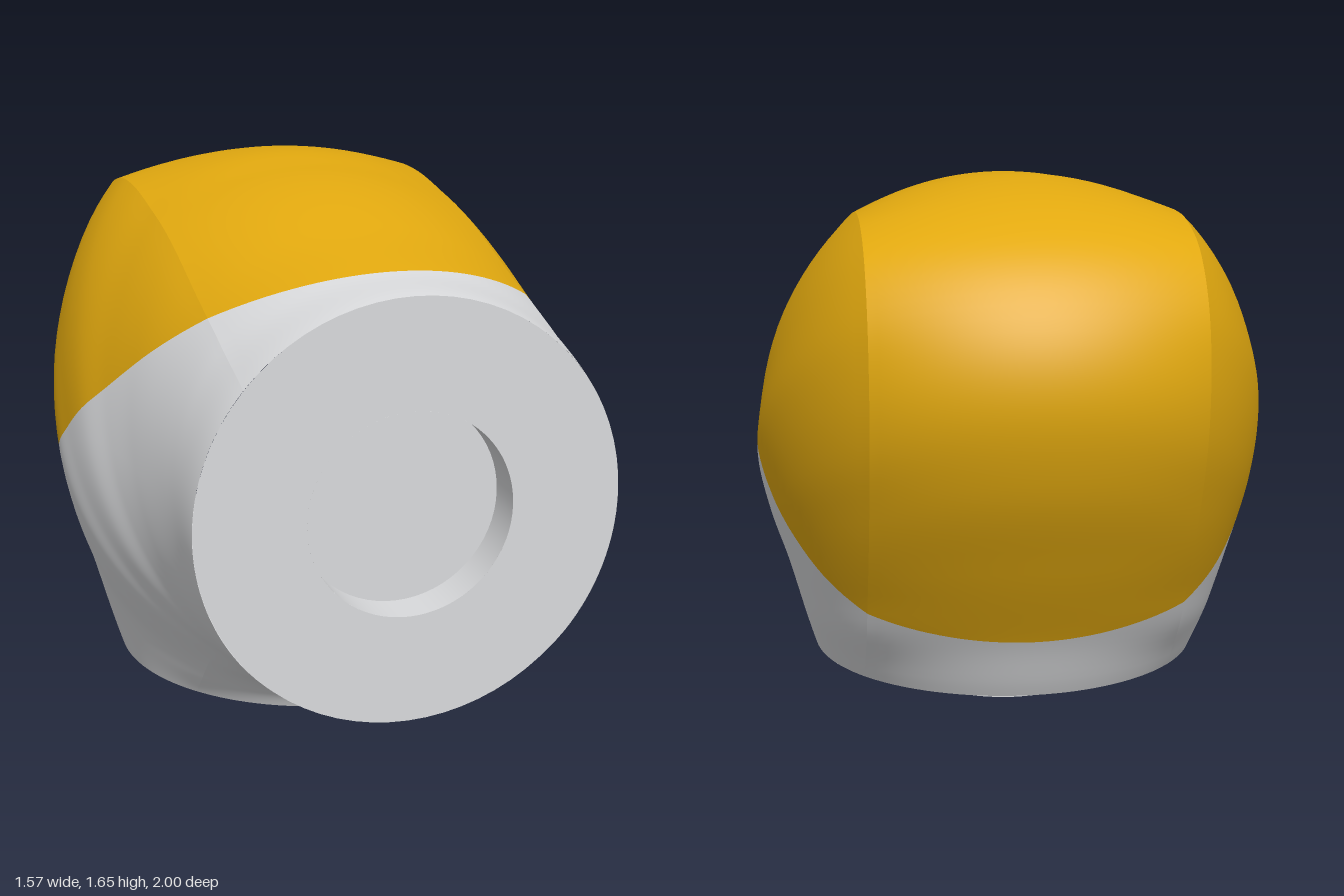
import * as THREE from 'three';

// All shell sections fan out around an axis along x at this corner.
const PIVOT_Z = 1, PIVOT_Y = 0.12;
const CREASE_X = 0.475;

// Smooth (Hermite) interpolation through [angle, value] pairs.
function curve(pts) {
  const slope = i => {
    const a = pts[Math.max(i - 1, 0)], b = pts[Math.min(i + 1, pts.length - 1)];
    return (b[1] - a[1]) / (b[0] - a[0]);
  };
  return t => {
    let i = 0;
    while (i < pts.length - 2 && t > pts[i + 1][0]) i++;
    const [x0, y0] = pts[i], [x1, y1] = pts[i + 1], h = x1 - x0;
    const s = (t - x0) / h, s2 = s * s, s3 = s2 * s;
    return y0 * (2 * s3 - 3 * s2 + 1) + y1 * (3 * s2 - 2 * s3)
      + slope(i) * h * (s3 - 2 * s2 + s) + slope(i + 1) * h * (s3 - s2);
  };
}

// Turns profile points [z, y] into distance from the pivot by angle in degrees.
const profile = pts => curve(pts.map(([z, y]) => [
  THREE.MathUtils.radToDeg(Math.atan2(y - PIVOT_Y, PIVOT_Z - z)),
  Math.hypot(y - PIVOT_Y, PIVOT_Z - z),
]));

const outer = profile([[-0.575, 0.12], [-0.67, 0.32], [-0.82, 0.588], [-0.95, 0.86], [-1, 1.1],
  [-0.955, 1.3], [-0.82, 1.476], [-0.61, 1.583], [-0.25, 1.645], [0, 1.632], [0.5, 1.55],
  [0.8, 1.49], [1, 1.465]]);
const outerCrease = profile([[-0.35, 0.12], [-0.42, 0.2], [-0.52, 0.31], [-0.61, 0.455],
  [-0.77, 0.74], [-0.85, 0.95], [-0.866, 1.14], [-0.82, 1.326], [-0.69, 1.47], [-0.5, 1.535],
  [-0.315, 1.545], [-0.02, 1.513], [0.46, 1.396], [0.78, 1.305], [1, 1.245]]);
const innerCrease = profile([[0.425, 0.12], [0.5, 0.2], [0.6, 0.3], [0.7, 0.37], [0.8, 0.405],
  [0.9, 0.427], [1, 0.445]]);
const inner = profile([[0.65, 0.12], [0.67, 0.16], [0.72, 0.2], [0.8, 0.222], [0.9, 0.228], [1, 0.23]]);
const widest = curve([[0, 0.96], [15, 1.1], [32, 1.2], [45, 1.1], [60, 0.9], [75, 0.79], [90, 0.725]]);
const halfWidth = curve([[0, 0.6125], [15, 0.69], [24, 0.75], [32, 0.785], [38, 0.775], [45, 0.753],
  [52, 0.71], [60, 0.675], [75, 0.635], [90, 0.62]]);

// Point of a section at angle deg, x across and r away from the pivot.
function place(deg, x, r) {
  const a = THREE.MathUtils.degToRad(deg);
  return new THREE.Vector3(x, PIVOT_Y + r * Math.sin(a), PIVOT_Z - r * Math.cos(a));
}

// Drop of a circular arc that falls by sag at the crease.
function arcDrop(x, sag) {
  const R = (CREASE_X ** 2 + sag ** 2) / (2 * sag);
  return R - Math.sqrt(R * R - x * x);
}

// Back and inner strips between the two creases.
const backStrip = (deg, v) => {
  const x = CREASE_X * (2 * v - 1), r = outer(deg);
  return place(deg, x, r - arcDrop(x, r - outerCrease(deg)));
};
const innerStrip = (deg, v) => {
  const x = CREASE_X * (1 - 2 * v), r = inner(deg);
  return place(deg, x, r + arcDrop(x, innerCrease(deg) - r));
};

// Bulging cheeks: elliptical arcs from crease to crease.
const cheek = side => (deg, v) => {
  const W = halfWidth(deg), mid = widest(deg), limit = Math.acos(CREASE_X / W);
  const phi = limit * (1 - 2 * v) * side;
  const k = Math.sin(phi) / Math.sin(limit);
  const end = k > 0 ? outerCrease(deg) : innerCrease(deg);
  return place(deg, side * W * Math.cos(phi), mid + Math.abs(k) * (end - mid));
};

// Grid surface with smooth normals; strips meet at sharp creases.
function grid(f, nu, nv) {
  const pos = [], index = [];
  for (let i = 0; i <= nu; i++)
    for (let j = 0; j <= nv; j++) pos.push(...f(90 * i / nu, j / nv).toArray());
  for (let i = 0; i < nu; i++)
    for (let j = 0; j < nv; j++) {
      const a = i * (nv + 1) + j, b = a + nv + 1;
      index.push(a, b, a + 1, b, b + 1, a + 1);
    }
  const g = new THREE.BufferGeometry();
  g.setAttribute('position', new THREE.Float32BufferAttribute(pos, 3));
  g.setIndex(index);
  g.computeVertexNormals();
  return g.toNonIndexed();
}

// Slanted dividing plane between the cover and the base.
const height = p => -1.17 * (p.z - 0.81) + 1.48 * (p.y - 1.49);

// Keeps the part of a geometry above (sign 1) or below (sign -1) the plane.
function clip(geo, sign) {
  const P = geo.attributes.position, N = geo.attributes.normal, pos = [], nor = [];
  const push = c => { pos.push(...c.p.toArray()); nor.push(...c.n.toArray()); };
  for (let t = 0; t < P.count; t += 3) {
    const tri = [0, 1, 2].map(k => {
      const p = new THREE.Vector3().fromBufferAttribute(P, t + k);
      return { p, n: new THREE.Vector3().fromBufferAttribute(N, t + k), d: sign * height(p) };
    });
    const poly = [];
    tri.forEach((a, k) => {
      const b = tri[(k + 1) % 3];
      if (a.d >= 0) poly.push(a);
      if ((a.d >= 0) !== (b.d >= 0)) {
        const s = a.d / (a.d - b.d);
        poly.push({ p: a.p.clone().lerp(b.p, s), n: a.n.clone().lerp(b.n, s).normalize() });
      }
    });
    for (let k = 1; k + 1 < poly.length; k++) [poly[0], poly[k], poly[k + 1]].forEach(push);
  }
  const g = new THREE.BufferGeometry();
  g.setAttribute('position', new THREE.Float32BufferAttribute(pos, 3));
  g.setAttribute('normal', new THREE.Float32BufferAttribute(nor, 3));
  return g;
}

export function createModel() {
  const model = new THREE.Group();
  model.name = 'elbowJoint';
  const grey = new THREE.MeshStandardMaterial({ color: 0xd9dadc, side: THREE.DoubleSide });
  grey.name = 'lightGrey';
  const yellow = new THREE.MeshStandardMaterial({ color: 0xe2a90f });
  yellow.name = 'amberYellow';

  const add = (name, geo, mat, x = 0, y = 0, z = 0, rotX = 0) => {
    const m = new THREE.Mesh(geo, mat);
    m.name = name;
    m.position.set(x, y, z);
    m.rotation.x = rotX;
    model.add(m);
  };

  // Shell: amber cover above the slanted plane, grey housing below
  const strips = { Back: backStrip, LeftCheek: cheek(1), Inner: innerStrip, RightCheek: cheek(-1) };
  for (const [name, f] of Object.entries(strips)) {
    const g = grid(f, 90, 32);
    for (const [part, sign, mat] of [['cover', 1, yellow], ['housing', -1, grey]]) {
      const piece = clip(g, sign);
      if (piece.attributes.position.count) add(part + name, piece, mat);
    }
  }

  // Bottom flange with its round peg
  add('bottomFlange', new THREE.CircleGeometry(0.6125, 72), grey, 0, 0.12, 0.0375, Math.PI / 2);
  add('bottomPeg', new THREE.CylinderGeometry(0.3, 0.3, 0.12, 64), grey, 0, 0.06, 0.035);

  // Front flange with its round socket
  add('frontFlange', new THREE.RingGeometry(0.3, 0.62, 72), grey, 0, 0.846, 1);
  add('socketWall', new THREE.CylinderGeometry(0.3, 0.3, 0.12, 64, 1, true), grey, 0, 0.846, 0.94, Math.PI / 2);
  add('socketFloor', new THREE.CircleGeometry(0.3, 64), grey, 0, 0.846, 0.88);
  return model;
}
